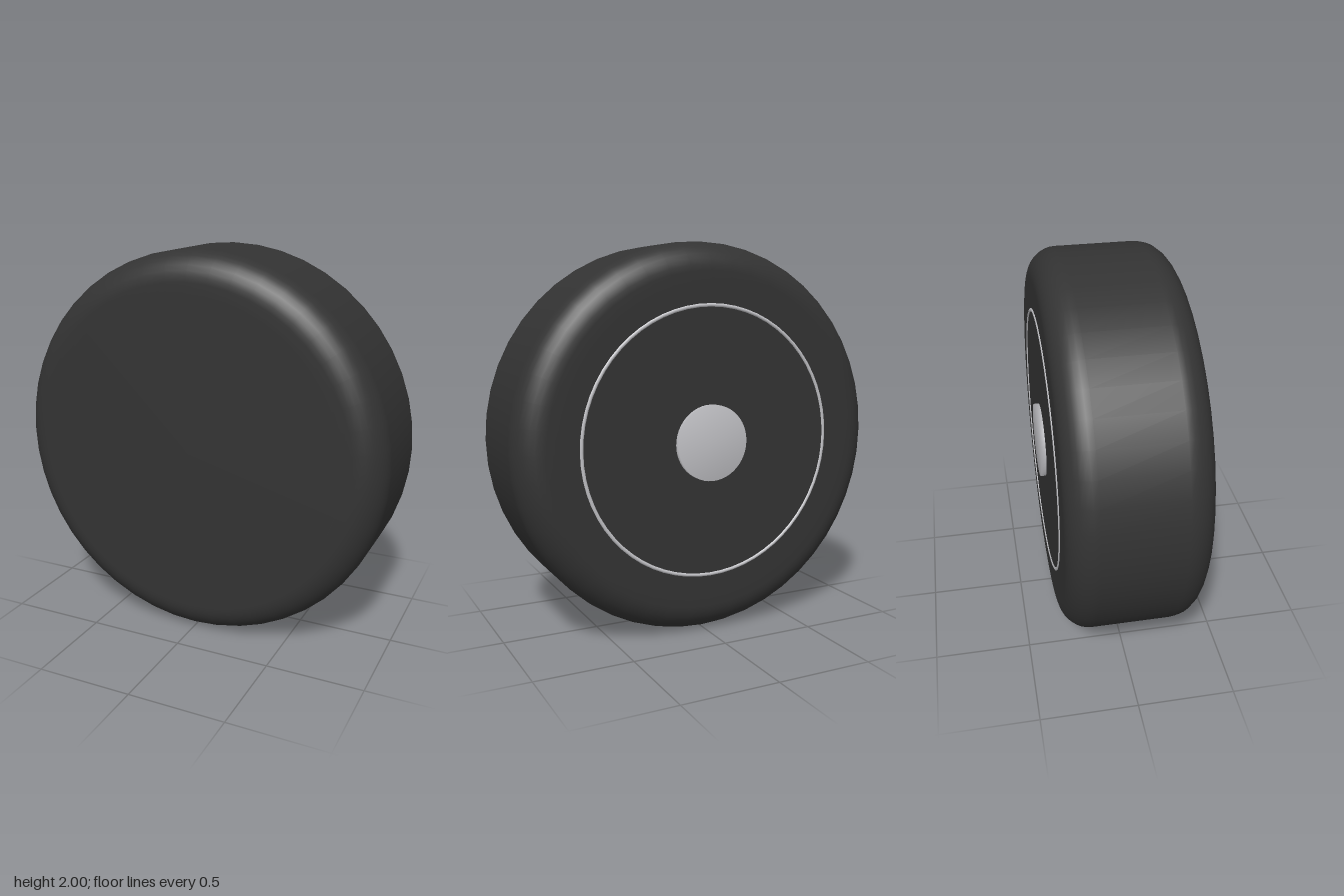
import * as THREE from 'three';

const SIDES = 48;

// Revolves [radius, z] pairs (listed from back to front) around the z axis.
function revolve(points, material, name) {
  const profile = points.map(([r, z]) => new THREE.Vector2(r, z));
  const geometry = new THREE.LatheGeometry(profile, SIDES);
  geometry.rotateX(Math.PI / 2);
  const mesh = new THREE.Mesh(geometry, material);
  mesh.name = name;
  return mesh;
}

export function createModel() {
  const rubber = new THREE.MeshStandardMaterial({ color: 0x333333 });
  rubber.name = 'dark rubber';
  const silver = new THREE.MeshStandardMaterial({ color: 0xc2c2c6 });
  silver.name = 'silver';

  const model = new THREE.Group();
  model.name = 'wheel';
  const wheel = new THREE.Group();
  wheel.name = 'wheelParts';
  wheel.position.y = 1;
  model.add(wheel);

  // Solid tyre with rounded shoulders on both faces
  const back = -0.333, front = 0.36, fillet = 0.145, steps = 8;
  const profile = [[0, back], [0.8, back]];
  for (const [z, start] of [[back + fillet, -Math.PI / 2], [front - fillet, 0]]) {
    for (let i = 0; i <= steps; i++) {
      const a = start + (i / steps) * (Math.PI / 2);
      profile.push([1 - fillet + fillet * Math.cos(a), z + fillet * Math.sin(a)]);
    }
  }
  profile.push([0.8, front], [0, front]);
  wheel.add(revolve(profile, rubber, 'tyre'));

  // Thin trim ring half sunk into the back face
  const ring = new THREE.Mesh(new THREE.TorusGeometry(0.686, 0.01, 8, 64), silver);
  ring.name = 'trimRing';
  ring.position.z = back + 0.003;
  ring.scale.z = 0.9;
  wheel.add(ring);

  // Low hub cap, softly shaded over its rim
  wheel.add(revolve([[0, -0.36], [0.193, -0.36], [0.193, -0.32]], silver, 'hubCap'));

  return model;
}
